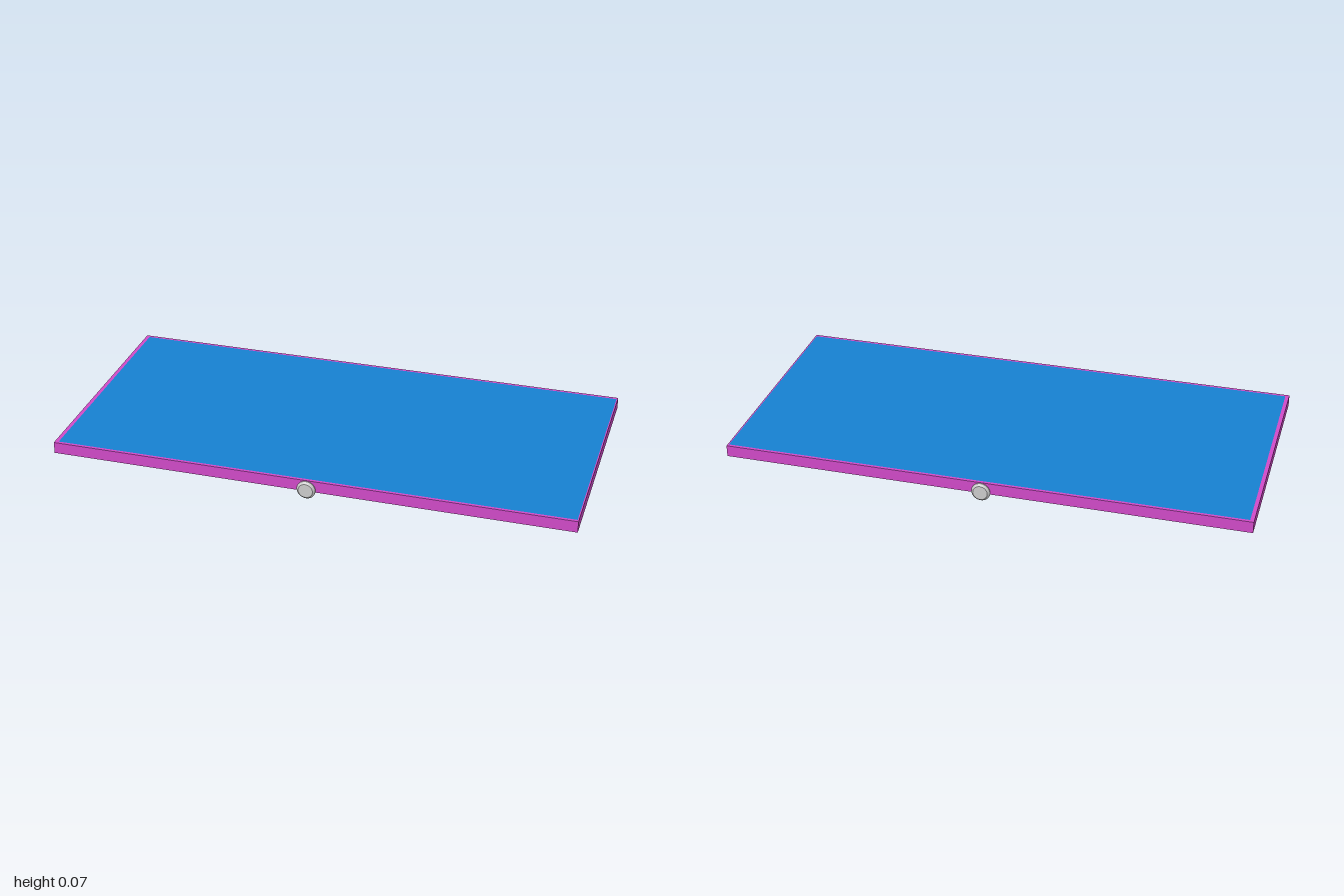
import * as THREE from 'three';

const material = (color) => new THREE.MeshStandardMaterial({ color });

// Rectangle outline points, counter-clockwise
const rectangle = (x0, x1, z) =>
  [[x0, -z], [x1, -z], [x1, z], [x0, z]].map(([x, y]) => new THREE.Vector2(x, y));

export function createModel() {
  const group = new THREE.Group();
  const add = (name, geometry, color) => {
    const mesh = new THREE.Mesh(geometry, material(color));
    mesh.name = name;
    group.add(mesh);
    return mesh;
  };

  const bottom = 0.028, top = 0.073, height = top - bottom;
  const inner = { x0: -0.985, x1: 0.995, z: 0.463 };

  // Thin rim around the board
  const outline = new THREE.Shape(rectangle(-1, 1, 0.475));
  outline.holes.push(new THREE.Path(rectangle(inner.x0, inner.x1, inner.z)));
  const rim = new THREE.ExtrudeGeometry(outline, { depth: height, bevelEnabled: false });
  rim.rotateX(-Math.PI / 2);
  add('rim', rim, 0xd04ac8).position.y = bottom;

  // Board filling the rim, flush above and below
  const board = new THREE.BoxGeometry(inner.x1 - inner.x0, height, inner.z * 2);
  add('board', board, 0x1680d0).position.set((inner.x0 + inner.x1) / 2, bottom + height / 2, 0);

  // Pivot rod across the middle, with chamfered ends
  const radius = 0.0355, half = 0.487, chamfer = 0.008;
  const side = new THREE.CylinderGeometry(radius, radius, (half - chamfer) * 2, 32, 1, true);
  side.rotateX(Math.PI / 2);
  add('rod', side, 0xcccccc).position.y = radius;

  for (const s of [1, -1]) {
    const bevel = new THREE.CylinderGeometry(radius - chamfer, radius, chamfer, 32, 1, true);
    bevel.rotateX(s * Math.PI / 2);
    add('rodChamfer', bevel, 0xcccccc).position.set(0, radius, s * (half - chamfer / 2));

    const cap = new THREE.CircleGeometry(radius - chamfer, 32);
    if (s < 0) cap.rotateY(Math.PI);
    add('rodEnd', cap, 0xcccccc).position.set(0, radius, s * half);
  }
  return group;
}
